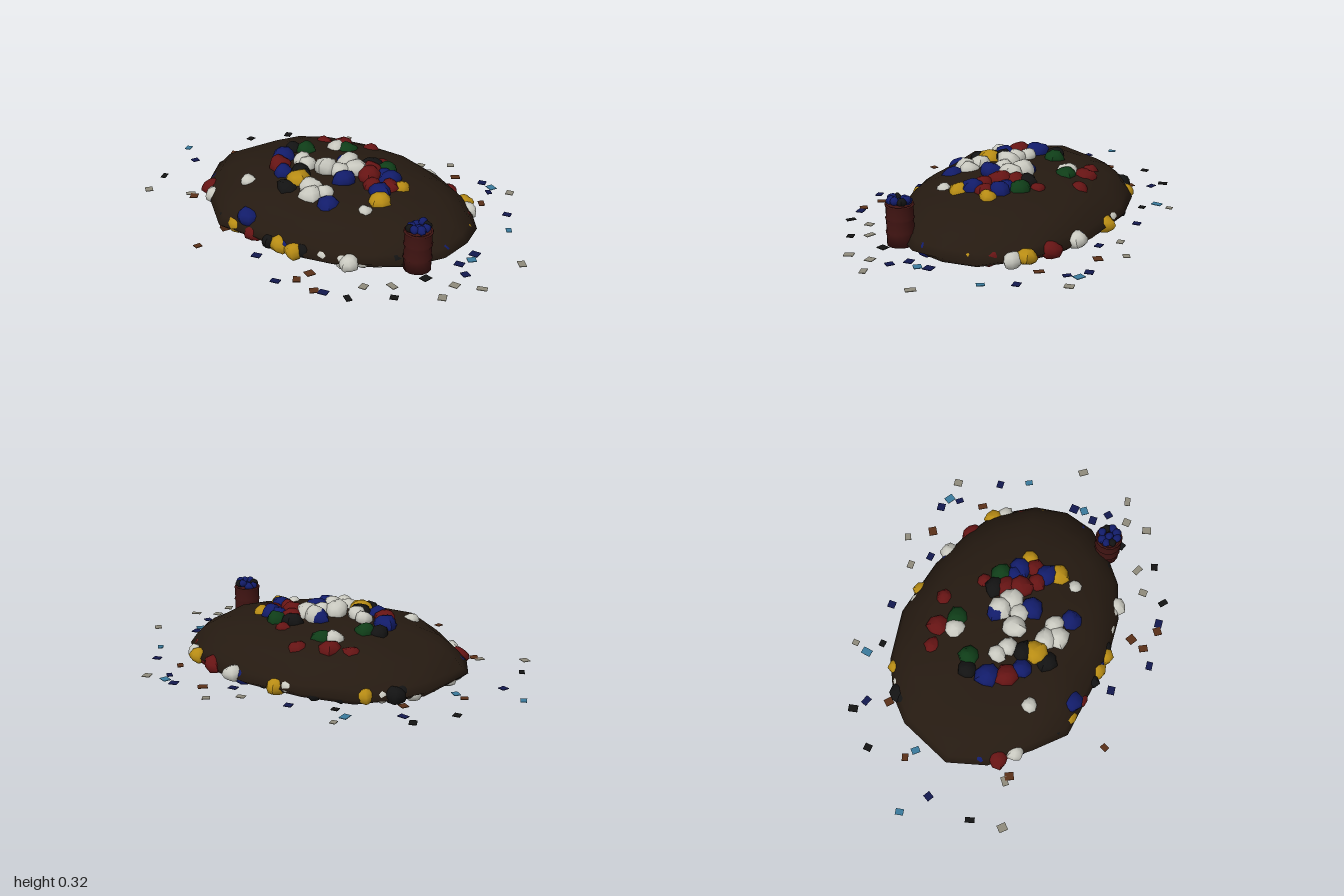
import * as THREE from 'three';

const COLORS = {
  white: 0xc9c9c0, red: 0x661414, blue: 0x121c6a, green: 0x0f3d18,
  yellow: 0xb88c14, black: 0x131313, brown: 0x5a3018, grey: 0x8f8b7c,
  teal: 0x3a7a9c, navy: 0x12184e, soil: 0x251a11, rust: 0x401412,
};
const materials = {};
for (const [name, color] of Object.entries(COLORS)) {
  materials[name] = new THREE.MeshStandardMaterial({ color });
}
materials.soil.side = THREE.DoubleSide;

// Seeded random numbers
let seed = 7;
const rand = (a = 0, b = 1) => {
  seed = (seed * 16807) % 2147483647;
  return a + (b - a) * (seed / 2147483647);
};

// Plan outline of the mound: x, z and how far the rim lifts there
const OUTLINE = [
  [0.72, 0, 0], [0.69, 0.15, 0], [0.585, 0.28, 0], [0.47, 0.38, 0], [0.3, 0.455, 0],
  [0.1, 0.485, 0], [-0.1, 0.475, 0], [-0.33, 0.46, 0], [-0.47, 0.34, 0], [-0.62, 0.18, 0],
  [-0.69, 0, 0.022], [-0.6, -0.26, 0], [-0.5, -0.37, 0], [-0.34, -0.465, 0],
  [-0.1, -0.52, 0], [0.2, -0.485, 0], [0.41, -0.41, 0], [0.56, -0.33, 0], [0.69, -0.16, 0],
];
// Mound profile from rim to crown: outline scale and height
const PROFILE = [
  [0.96, 0.042], [1, 0.065], [0.96, 0.1], [0.9, 0.14], [0.8, 0.182],
  [0.65, 0.213], [0.45, 0.234], [0.2, 0.246], [0, 0.25],
];

function heightAt(x, z) {
  const s = Math.min(1, Math.hypot(x / 0.7, z / 0.5));
  for (let i = 1; i < PROFILE.length - 1; i++) {
    const [s0, y0] = PROFILE[i], [s1, y1] = PROFILE[i + 1];
    if (s >= s1) return y1 + (y0 - y1) * (s - s1) / (s0 - s1);
  }
  return 0.25;
}

// Open dome joined from rings of the outline
function moundGeometry() {
  const n = OUTLINE.length, pos = [], index = [];
  PROFILE.forEach(([s, y], i) => OUTLINE.forEach(([x, z, lift], j) => {
    const bump = s * 0.008 * Math.sin(j * 2.3 + i * 1.1) + (i < 2 ? lift : 0);
    pos.push(x * s, y + bump, z * s);
    if (i === PROFILE.length - 1) return;
    const k = (j + 1) % n, a = i * n + j, b = i * n + k;
    index.push(a, a + n, b, b, a + n, b + n);
  }));
  const g = new THREE.BufferGeometry();
  g.setAttribute('position', new THREE.Float32BufferAttribute(pos, 3));
  g.setIndex(index);
  g.computeVertexNormals();
  return g;
}

// Lumpy ball of a stuffed bag
function bagGeometry() {
  const g = new THREE.SphereGeometry(1, 8, 6), p = g.attributes.position;
  for (let i = 0; i < p.count; i++) {
    const x = p.getX(i), y = p.getY(i), z = p.getZ(i);
    const k = 1 + 0.06 * Math.sin(4 * x + 2 * z) + 0.05 * Math.cos(5 * z - 3 * y);
    p.setXYZ(i, x * k, y * k, z * k);
  }
  g.computeVertexNormals();
  return g;
}
const bagShape = bagGeometry();
const boxShape = new THREE.BoxGeometry(1, 1, 1);

function addMesh(parent, name, geometry, color, x, y, z) {
  const m = new THREE.Mesh(geometry, materials[color]);
  m.name = name;
  m.position.set(x, y, z);
  parent.add(m);
  return m;
}

function addBag(parent, color, x, y, z, r) {
  const m = addMesh(parent, 'bag', bagShape, color, x, y, z);
  m.scale.set(r * rand(0.9, 1.1), r * rand(0.75, 0.9), r * rand(0.9, 1.1));
  m.rotation.set(rand(-0.3, 0.3), rand(0, 6.28), rand(-0.3, 0.3));
}

// Bags lying on top of the mound, x and z pairs
const TOP_BAGS = {
  red: [[-0.235, -0.28], [-0.135, -0.295], [0.01, -0.33], [-0.235, 0.1], [0.19, -0.02],
    [0.165, -0.085], [0.245, 0.04], [0.31, 0]],
  green: [[-0.22, -0.1], [-0.065, -0.23], [0.22, -0.13]],
  white: [[-0.12, -0.215], [-0.16, 0.02], [-0.11, 0.05], [-0.01, 0.04], [0.06, 0.03],
    [0.11, -0.03], [0.05, -0.06], [0, 0.19], [0.04, 0.24], [0.09, 0.2]],
  blue: [[-0.27, 0.02], [-0.175, 0.15], [0.03, -0.07], [0.28, -0.06], [0.3, 0.065],
    [0.145, 0.26], [0.24, -0.07], [0.11, 0.075], [-0.19, 0.41]],
  yellow: [[0.35, -0.04], [0.33, 0.115], [-0.075, 0.175]],
  black: [[-0.1, 0.12], [-0.28, -0.08], [-0.09, 0.24], [0.14, -0.13]],
};
// Half-buried bags that barely show
const SMALL_BAGS = { white: [[-0.31, 0.25], [0.31, 0.21]], red: [[0.155, -0.19]] };
// Bags low down round the rim
const RIM_BAGS = {
  red: [[0.42, -0.385], [-0.57, 0.21]],
  white: [[0.28, -0.445], [0.36, 0.42], [-0.51, 0.27], [0.58, -0.28]],
  yellow: [[-0.365, -0.42], [0.04, -0.48], [0.54, -0.325], [0.1, 0.465], [0.02, 0.46]],
  black: [[-0.475, -0.345], [-0.04, 0.45]],
};

// Litter on the ground, x and z pairs
const LITTER = {
  grey: [[-0.33, -0.66], [0.15, -0.6], [0.28, -0.68], [0.66, -0.58], [0.98, -0.02], [0.92, 0.25],
    [0.81, 0.29], [0.49, 0.51], [-0.85, 0.36], [-0.65, 0.28], [0.59, 0.44], [0.81, 0.4]],
  teal: [[-0.98, -0.1], [0.81, -0.25], [0.78, 0.07], [0.56, -0.58], [-0.69, -0.16], [-0.35, -0.59]],
  navy: [[-0.86, -0.01], [-0.08, -0.59], [0.23, -0.53], [0.5, -0.6], [0.57, -0.53], [0.15, 0.68],
    [-0.04, 0.56], [0.74, -0.38], [-0.57, -0.48], [0.75, 0.13], [0.81, 0.19], [0.37, 0.64], [0.77, 0.02]],
  black: [[-0.77, -0.37], [-0.28, -0.54], [-0.88, 0.21], [0.64, 0.51], [0.48, 0.62],
    [-0.63, -0.52], [0.68, 0.31]],
  brown: [[-0.74, -0.19], [-0.53, -0.38], [-0.31, 0.64], [0.22, 0.62], [0.33, 0.65],
    [0.24, 0.55], [0.59, -0.41], [-0.62, 0.29], [0.36, -0.58]],
};

function eachSpot(table, fn) {
  for (const [color, spots] of Object.entries(table)) {
    for (const [x, z] of spots) fn(color, x, z);
  }
}

function addGroup(parent, name) {
  const g = new THREE.Group();
  g.name = name;
  parent.add(g);
  return g;
}

export function createModel() {
  seed = 7;
  const model = new THREE.Group();
  model.name = 'rubbishHeap';
  addMesh(model, 'mound', moundGeometry(), 'soil', 0, 0, 0);

  // Bags on the surface, the middle ones piled higher
  const surface = addGroup(model, 'surfaceBags');
  eachSpot(TOP_BAGS, (color, x, z) => {
    const lift = 0.02 - 0.1 * Math.hypot(0.7 * x, 1.3 * z);
    addBag(surface, color, x, heightAt(x, z) + lift, z, rand(0.046, 0.06));
  });
  eachSpot(SMALL_BAGS, (color, x, z) => addBag(surface, color, x, heightAt(x, z) - 0.012, z, 0.036));
  eachSpot(RIM_BAGS, (color, x, z) => addBag(surface, color, x, rand(0.062, 0.075), z, rand(0.042, 0.05)));

  // Bags and cardboard packed under the shell: a spiral, then a ring inside the rim
  const packed = addGroup(model, 'packedBags');
  const cycle = ['white', 'blue', 'black', 'white', 'yellow', 'blue', 'red', 'black', 'green', 'white', 'blue'];
  const anyColor = () => cycle[Math.floor(rand(0, cycle.length))];
  for (let i = 0; i < 110; i++) {
    const s = 0.84 * Math.sqrt((i + 0.5) / 110), a = i * 2.39996;
    const x = 0.68 * s * Math.cos(a), z = 0.48 * s * Math.sin(a);
    addBag(packed, anyColor(), x, rand(0.075, 0.1), z, rand(0.05, 0.068));
    if (i % 2) continue;
    const box = addMesh(packed, 'cardboard', boxShape, 'brown', x + 0.04, rand(0.05, 0.07), z);
    box.scale.set(rand(0.07, 0.12), rand(0.01, 0.03), rand(0.05, 0.09));
    box.rotation.set(rand(-0.25, 0.25), rand(0, 3), rand(-0.25, 0.25));
  }
  OUTLINE.forEach(([x, z], j) => {
    const [x2, z2] = OUTLINE[(j + 1) % OUTLINE.length];
    for (const t of [0.25, 0.75]) {
      const px = (x + (x2 - x) * t) * 0.92, pz = (z + (z2 - z) * t) * 0.92;
      addBag(packed, anyColor(), px, rand(0.06, 0.075), pz, rand(0.036, 0.046));
    }
  });
  // Lowest pieces poking out below the rim
  addBag(packed, 'white', 0.34, 0.055, 0.39, 0.055);
  const flap = addMesh(packed, 'cardboard', boxShape, 'brown', -0.33, 0.03, 0.39);
  flap.scale.set(0.07, 0.03, 0.06);
  flap.rotation.set(0.3, 0.5, 0.25);

  // Ribbed drum with rubbish on top
  const drum = addGroup(model, 'drum');
  drum.position.set(0.61, 0.045, 0.26);
  const r = 0.062, pts = [[0, 0], [r, 0]];
  for (const y of [0.06, 0.125]) pts.push([r, y - 0.006], [r + 0.004, y], [r, y + 0.006]);
  pts.push([r, 0.181], [r + 0.004, 0.185], [r + 0.002, 0.191], [r - 0.006, 0.191], [r - 0.006, 0.183], [0, 0.183]);
  const body = new THREE.LatheGeometry(pts.map(([x, y]) => new THREE.Vector2(x, y)), 14);
  addMesh(drum, 'drumBody', body, 'rust', 0, 0, 0);
  for (let i = 0; i < 9; i++) {
    const d = i ? 0.038 : 0, a = i * Math.PI / 4;
    addBag(drum, i % 4 === 3 ? 'black' : 'blue', d * Math.cos(a), rand(0.195, 0.215), d * Math.sin(a), 0.022);
  }

  // Flat scraps scattered round the heap
  const litter = addGroup(model, 'litter');
  eachSpot(LITTER, (color, x, z) => {
    const scrap = addMesh(litter, 'scrap', boxShape, color, x, 0.042, z);
    scrap.scale.set(rand(0.025, 0.045), 0.003, rand(0.03, 0.048));
    scrap.rotation.y = rand(0, Math.PI);
  });
  return model;
}
